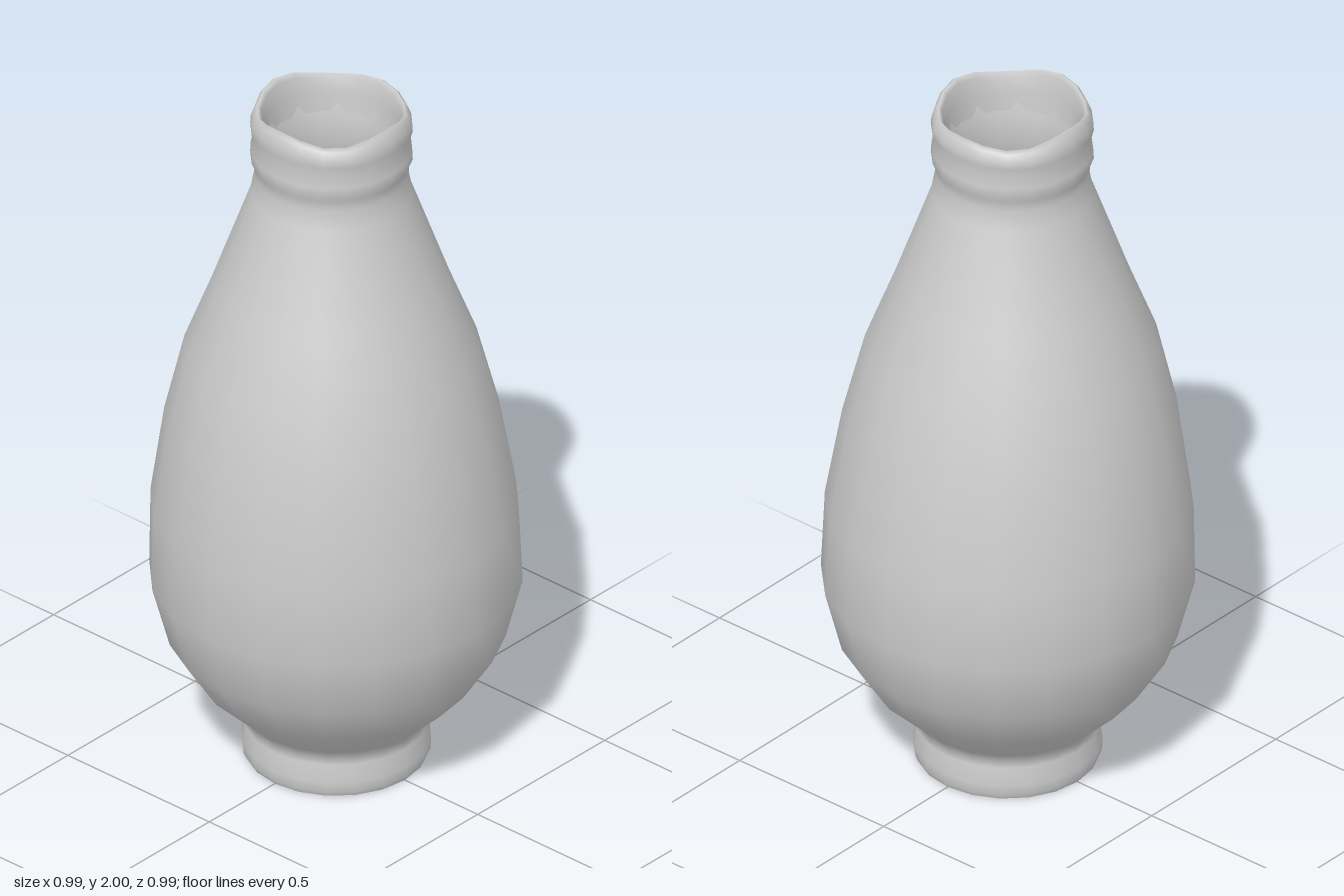
import * as THREE from 'three';
import { mergeVertices } from 'three/addons/utils/BufferGeometryUtils.js';

const material = new THREE.MeshStandardMaterial({ color: 0xcccccc });

// Lean the axis slightly toward -x and make the rim uneven
function deform(geometry) {
  const p = geometry.attributes.position;
  for (let i = 0; i < p.count; i++) {
    const x = p.getX(i), y = p.getY(i), z = p.getZ(i);
    const a = Math.atan2(z, x);
    const dip = 0.014 * Math.max(0, Math.cos(a)) ** 4;
    const wave = 0.011 * Math.cos(4 * a) - dip;
    p.setXYZ(i,
      x - 0.019 * THREE.MathUtils.smoothstep(y, 0.4, 1.35),
      y + wave * THREE.MathUtils.smoothstep(y, 1.9, 1.98),
      z);
  }
}

// Turned surface with smooth normals across the seam
function turned(name, profile, sides) {
  let g = new THREE.LatheGeometry(profile.map(([r, y]) => new THREE.Vector2(r, y)), sides);
  g.deleteAttribute('uv');
  g.deleteAttribute('normal');
  deform(g);
  g = mergeVertices(g, 1e-5);
  g.computeVertexNormals();
  const mesh = new THREE.Mesh(g, material);
  mesh.name = name;
  return mesh;
}

export function createModel() {
  const vase = new THREE.Group();
  vase.name = 'vase';

  // Foot, belly, shoulder, ringed neck and rolled lip
  vase.add(turned('outerBody', [
    [0.242, 0], [0.249, 0.015], [0.251, 0.045], [0.243, 0.095], [0.24, 0.115],
    [0.262, 0.145], [0.365, 0.245], [0.448, 0.375], [0.494, 0.55], [0.487, 0.775],
    [0.446, 1.03], [0.389, 1.26], [0.315, 1.45], [0.213, 1.735], [0.203, 1.79],
    [0.206, 1.82], [0.215, 1.84], [0.214, 1.865], [0.208, 1.9], [0.215, 1.93],
    [0.214, 1.955], [0.205, 1.98], [0.195, 1.988], [0.186, 1.975], [0.179, 1.93],
    [0.174, 1.87],
  ], 20));

  // Hollow inside, turned with fewer sides
  vase.add(turned('innerWall', [
    [0.186, 1.9], [0.175, 1.85], [0.168, 1.78], [0.19, 1.7], [0.28, 1.45],
    [0.35, 1.26], [0.405, 1.03], [0.445, 0.775], [0.45, 0.55], [0.4, 0.375],
    [0.31, 0.245], [0.17, 0.16], [0, 0.13],
  ], 10));

  // Flat underside
  const base = new THREE.Mesh(new THREE.CircleGeometry(0.242, 20), material);
  base.rotation.x = Math.PI / 2;
  base.name = 'base';
  vase.add(base);

  return vase;
}
